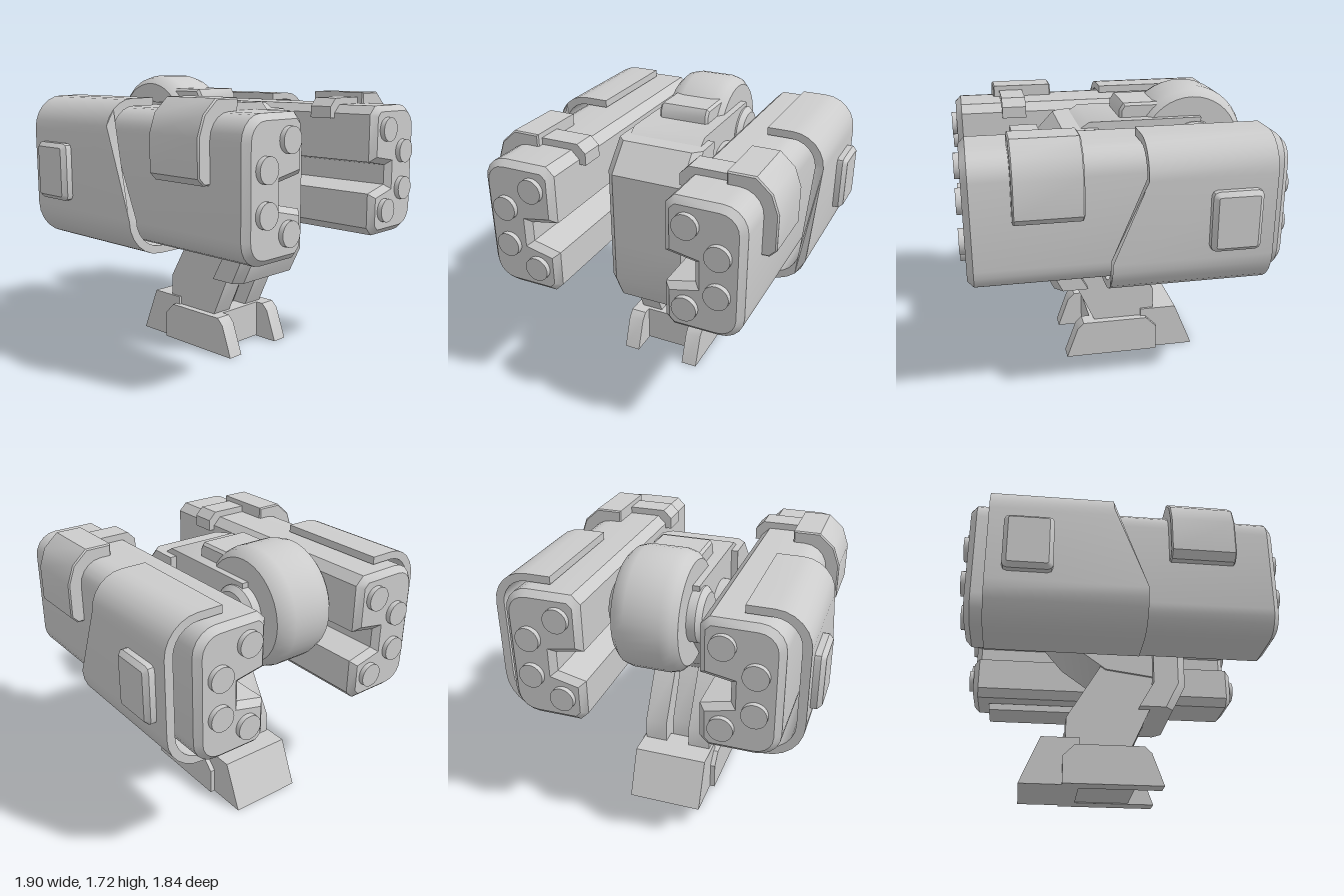
import * as THREE from 'three';
import { toCreasedNormals } from 'three/addons/utils/BufferGeometryUtils.js';

const grey = new THREE.MeshStandardMaterial({ color: 0xcccccc });
const shapeOf = (pts) => new THREE.Shape(pts.map(([x, y]) => new THREE.Vector2(x, y)));

function add(parent, name, geometry) {
  const mesh = new THREE.Mesh(toCreasedNormals(geometry, 0.6), grey);
  mesh.name = name;
  parent.add(mesh);
  return mesh;
}

// Extrude an outline between two depths, with chamfered ends
function prism(pts, a, b, chamfer = 0) {
  const geo = new THREE.ExtrudeGeometry(shapeOf(pts), {
    depth: b - a - 2 * chamfer, bevelEnabled: chamfer > 0, bevelSize: chamfer,
    bevelThickness: chamfer, bevelOffset: -chamfer, bevelSegments: 1,
  });
  return geo.translate(0, 0, a + chamfer);
}

// Side outline in (z, y), extruded from x0 to x1
const slab = (pts, x0, x1, chamfer = 0) => prism(pts, -x1, -x0, chamfer).rotateY(-Math.PI / 2);

const rect = (x0, x1, y0, y1) => [[x0, y0], [x1, y0], [x1, y1], [x0, y1]];

// Points of an arc, angles in degrees
function arc(cx, cy, r, from, to, n = 5) {
  return Array.from({ length: n + 1 }, (_, i) => {
    const t = THREE.MathUtils.degToRad(from + ((to - from) * i) / n);
    return [cx + r * Math.cos(t), cy + r * Math.sin(t)];
  });
}

// Lathe around the x axis; profile in (radius, x)
function drum(profile, y, z, sides = 40) {
  const geo = new THREE.LatheGeometry(profile.map(([r, x]) => new THREE.Vector2(r, x)), sides);
  return geo.rotateZ(-Math.PI / 2).translate(0, y, z);
}

// Front armour: plan section with chamfered front corners, lofted upward
function armour(levels) {
  const rings = levels.map(([y, front, back]) => [
    [-0.27, y, back], [-0.27, y, front - 0.05], [-0.22, y, front],
    [0.22, y, front], [0.27, y, front - 0.05], [0.27, y, back],
  ]);
  const pos = [];
  const tri = (...p) => p.forEach((v) => pos.push(...v));
  for (let k = 0; k + 1 < rings.length; k++) {
    for (let i = 0; i < 6; i++) {
      const j = (i + 1) % 6;
      tri(rings[k][i], rings[k][j], rings[k + 1][j]);
      tri(rings[k][i], rings[k + 1][j], rings[k + 1][i]);
    }
  }
  const low = rings[0], top = rings[rings.length - 1];
  for (let i = 1; i < 5; i++) {
    tri(top[0], top[i], top[i + 1]);
    tri(low[0], low[i + 1], low[i]);
  }
  const geo = new THREE.BufferGeometry();
  geo.setAttribute('position', new THREE.Float32BufferAttribute(pos, 3));
  geo.computeVertexNormals();
  return geo;
}

function launcher(s) {
  const pod = new THREE.Group();
  pod.name = s > 0 ? 'leftLauncher' : 'rightLauncher';
  const side = (pts) => pts.map(([x, y]) => [x * s, y]);
  const across = (pts, a, b, c) => (s > 0 ? slab(pts, a, b, c) : slab(pts, -b, -a, c));

  // Pod body with a groove along the inner side
  add(pod, 'podBody', prism(side([
    [0.38, 1.05], ...arc(0.64, 1.19, 0.14, -90, 0), ...arc(0.64, 1.69, 0.14, 0, 90),
    [0.38, 1.83], [0.33, 1.78], [0.33, 1.5], [0.5, 1.47], [0.5, 1.35], [0.33, 1.31], [0.33, 1.1],
  ]), -0.89, 0.89, 0.035));

  // Tubes showing at both ends
  for (const [x, y] of [[0.46, 1.69], [0.64, 1.55], [0.64, 1.32], [0.46, 1.2]]) {
    add(pod, 'launchTube', new THREE.CylinderGeometry(0.072, 0.072, 1.84, 24)
      .rotateX(Math.PI / 2).translate(x * s, y, 0));
  }

  // Curved shield; its front edge slants forward toward the bottom
  const shield = prism(side([
    [0.47, 1.0], ...arc(0.67, 1.22, 0.22, -90, 0, 6), ...arc(0.69, 1.68, 0.2, 0, 90, 6),
    [0.54, 1.88], [0.54, 1.835], ...arc(0.685, 1.68, 0.155, 90, 0, 6),
    ...arc(0.665, 1.22, 0.175, 0, -90, 6), [0.47, 1.045],
  ]), -0.78, 0);
  const p = shield.attributes.position;
  for (let i = 0; i < p.count; i++) {
    if (p.getZ(i) > -0.1) {
      const t = THREE.MathUtils.clamp((p.getY(i) - 1.22) / 0.46, 0, 1);
      p.setZ(i, 0.12 - 0.19 * t);
    }
  }
  add(pod, 'sideShield', shield);
  add(pod, 'shieldPanel', across(
    [...arc(-0.66, 1.3, 0.03, 180, 270, 2), ...arc(-0.44, 1.3, 0.03, 270, 360, 2),
      ...arc(-0.44, 1.58, 0.03, 0, 90, 2), ...arc(-0.66, 1.58, 0.03, 90, 180, 2)], 0.83, 0.95, 0.025));

  // Front corner guard and its inner clip
  add(pod, 'cornerGuard', prism(side([
    [0.57, 1.8], [0.57, 1.9], [0.73, 1.9], [0.82, 1.82], [0.86, 1.71],
    [0.86, 1.5], [0.82, 1.46], [0.76, 1.46], [0.76, 1.65], [0.68, 1.8],
  ]), 0.26, 0.64, 0.008));
  add(pod, 'guardClip', prism(side([
    [0.29, 1.75], [0.36, 1.75], [0.36, 1.8], [0.62, 1.8], [0.62, 1.87], [0.34, 1.87], [0.29, 1.82],
  ]), 0.45, 0.6));
  return pod;
}

export function createModel() {
  const model = new THREE.Group();
  model.name = 'walker';
  model.add(launcher(1), launcher(-1));

  // Torso
  const torso = new THREE.Group();
  torso.name = 'torso';
  add(torso, 'frontArmour', armour([
    [0.77, 0.36, 0.15], [0.93, 0.44, 0.24], [1.2, 0.44, 0.24],
    [1.36, 0.44, 0.08], [1.64, 0.44, 0.08], [1.8, 0.29, 0.08],
  ]));
  add(torso, 'hull', slab([
    [0.25, 0.98], [0.26, 1.75], [0.13, 1.835], [-0.55, 1.835], [-0.55, 1.5], [-0.3, 1.2], [-0.05, 1.02],
  ], -0.23, 0.23));
  add(torso, 'topHatch', slab([
    [-0.35, 1.8], [-0.065, 1.8], [-0.065, 1.88], [-0.09, 1.92], [-0.35, 1.92],
  ], -0.16, 0.16, 0.015));
  add(torso, 'shoulderAxle', drum([[0, -0.4], [0.205, -0.4], [0.205, 0.4], [0, 0.4]], 1.495, -0.155));
  model.add(torso);

  // Rear drum with hub caps
  add(model, 'rearDrum', drum([
    [0, -0.19], [0.3, -0.19], [0.335, -0.155], [0.35, -0.1],
    [0.35, 0.1], [0.335, 0.155], [0.3, 0.19], [0, 0.19],
  ], 1.65, -0.5));
  add(model, 'drumHub', drum([
    [0, -0.27], [0.13, -0.27], [0.16, -0.24], [0.16, 0.24], [0.13, 0.27], [0, 0.27],
  ], 1.65, -0.51));

  // Leg: two side plates around a middle strut
  for (const s of [-1, 1]) {
    add(model, 'legPlate', slab([
      [0.25, 1.06], [0.22, 0.77], [0.095, 0.5], [-0.285, 0.5], [-0.285, 0.7], [-0.1, 1.01], [-0.02, 1.15], [0.2, 1.2],
    ], s * 0.145 - 0.07, s * 0.145 + 0.07));
  }
  add(model, 'legStrut', slab([
    [0.24, 1.05], [0, 0.5], [-0.2, 0.5], [-0.2, 0.68], [-0.02, 1.05],
  ], -0.06, 0.06));

  // Foot: two toes, bridge and heel
  const foot = new THREE.Group();
  foot.name = 'foot';
  for (const s of [-1, 1]) {
    add(foot, 'toe', slab([
      [0.29, 0.285], [0.22, 0.48], [0.18, 0.52], [-0.23, 0.52], [-0.3, 0.45], [-0.3, 0.285],
    ], s * 0.21 - 0.05, s * 0.21 + 0.05));
  }
  add(foot, 'footBridge', slab(rect(-0.25, 0.13, 0.29, 0.52), -0.165, 0.165));
  add(foot, 'heel', slab([[-0.2, 0.285], [-0.2, 0.57], [-0.43, 0.57], [-0.55, 0.285]], -0.23, 0.23));
  model.add(foot);
  return model;
}
